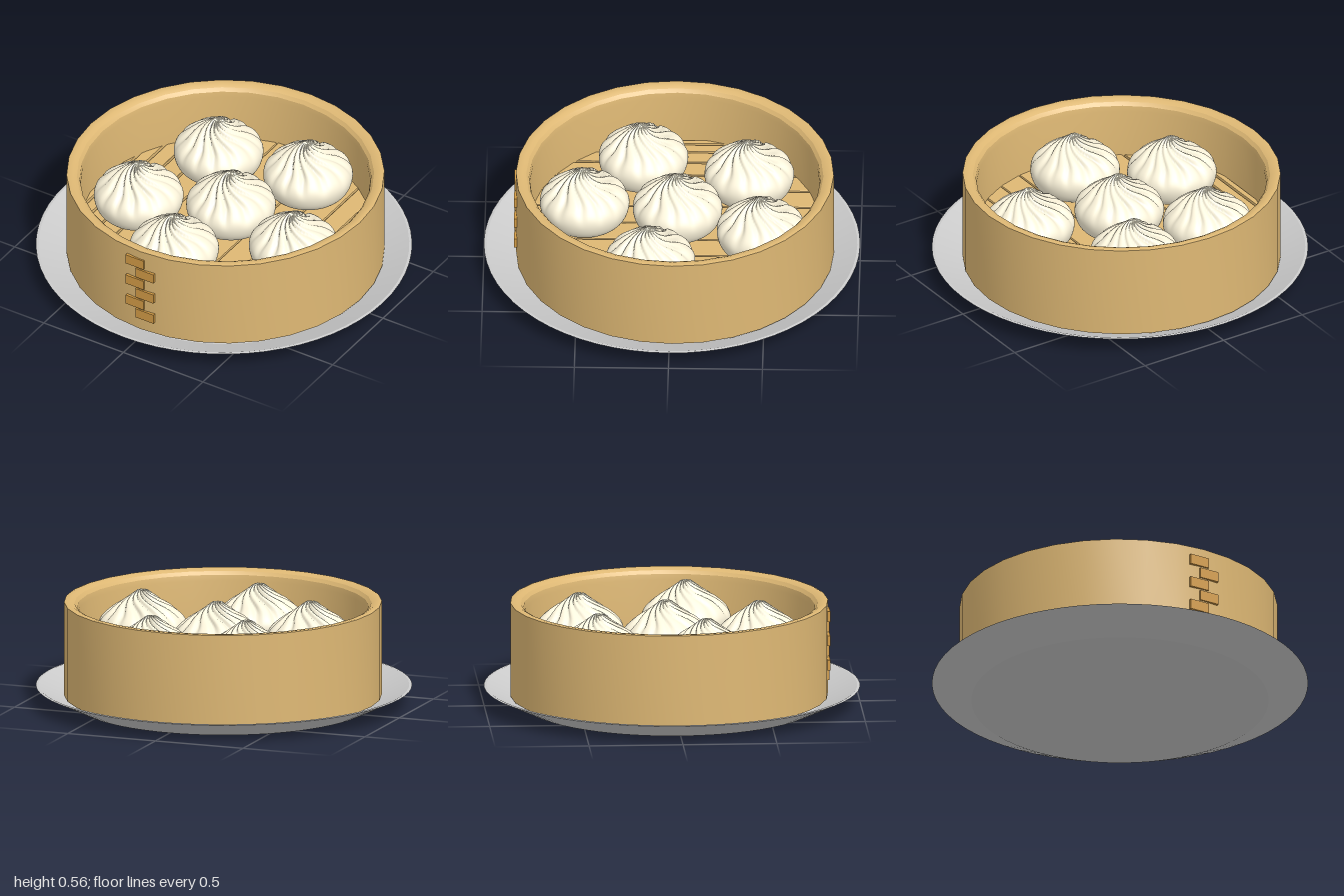
import * as THREE from 'three';
import { mergeVertices, toCreasedNormals } from 'three/addons/utils/BufferGeometryUtils.js';

const mat = (color) => new THREE.MeshStandardMaterial({ color });
const v2 = (list) => list.map(([x, y]) => new THREE.Vector2(x, y));

function addMesh(parent, name, geometry, material, x = 0, y = 0, z = 0) {
  const mesh = new THREE.Mesh(geometry, material);
  mesh.name = name;
  mesh.position.set(x, y, z);
  parent.add(mesh);
  return mesh;
}

const lathe = (points, segments) =>
  toCreasedNormals(new THREE.LatheGeometry(v2(points), segments), 0.4);

// Steamed bun: a revolved dome whose upper half is gathered into swirling pleats
function bunGeometry() {
  const profile = new THREE.SplineCurve(v2([
    [0, 0], [0.15, 0.003], [0.213, 0.04], [0.238, 0.11], [0.223, 0.17],
    [0.165, 0.225], [0.1, 0.268], [0.052, 0.303], [0.025, 0.321], [0, 0.316],
  ])).getPoints(44);
  profile[0].x = profile[profile.length - 1].x = 0;
  const geo = new THREE.LatheGeometry(profile, 120);
  const pos = geo.attributes.position;
  const pleats = 13;
  for (let i = 0; i < pos.count; i++) {
    const x = pos.getX(i), y = pos.getY(i), z = pos.getZ(i);
    const r = Math.hypot(x, z), a = Math.atan2(x, z);
    const strength = THREE.MathUtils.smoothstep(y, 0.1, 0.25);
    const swirl = 1.8 * Math.pow(Math.max(0, 1 - r / 0.2), 2);
    const phase = a + swirl + 0.06 * Math.sin(3 * a);
    const groove = Math.pow(Math.abs(Math.cos(phase * pleats / 2)), 5);
    const depth = strength * groove * (0.75 + 0.25 * Math.sin(2 * a + 1));
    const k = 1 - 0.13 * depth;
    pos.setXYZ(i, x * k, y - 0.012 * depth * Math.min(1, r / 0.04), z * k);
  }
  geo.deleteAttribute('normal');
  geo.deleteAttribute('uv');
  const merged = mergeVertices(geo, 1e-5);
  merged.computeVertexNormals();
  return merged;
}

export function createModel() {
  const model = new THREE.Group();
  model.name = 'bunSteamer';
  const grey = mat(0xcccccc);
  const bamboo = mat(0xdeb874);
  const binding = mat(0xd39c46);
  const dough = mat(0xfdf5dc);

  // Shallow plate with a flared rim
  addMesh(model, 'plate', lathe([
    [0, 0], [0.79, 0], [1, 0.1], [0.985, 0.102], [0.785, 0.012], [0, 0.012],
  ], 64), grey);

  const basket = new THREE.Group();
  basket.name = 'basket';
  basket.position.z = -0.015;
  model.add(basket);

  // Round wall with a softened inner lip
  addMesh(basket, 'basketWall', lathe([
    [0.77, 0.05], [0.845, 0.05], [0.845, 0.557], [0.835, 0.56], [0.81, 0.558],
    [0.79, 0.548], [0.775, 0.53], [0.77, 0.5], [0.77, 0.05],
  ], 32), bamboo);

  // Floor slats, cut to the round of the wall
  const floor = new THREE.Group();
  floor.name = 'floorSlats';
  basket.add(floor);
  const R = 0.775, gap = 0.009;
  for (let i = -7; i < 7; i++) {
    const a = i * Math.PI / 16, b = (i + 1) * Math.PI / 16;
    const x0 = R * Math.sin(a) + gap, x1 = R * Math.sin(b) - gap;
    const z0 = R * Math.cos(a), z1 = R * Math.cos(b);
    const slat = new THREE.ExtrudeGeometry(
      new THREE.Shape(v2([[x0, -z0], [x1, -z1], [x1, z1], [x0, z0]])),
      { depth: 0.02, bevelSize: 0.006, bevelThickness: 0.006, bevelSegments: 2 });
    slat.rotateX(-Math.PI / 2);
    addMesh(floor, 'slat', slat, bamboo, 0, 0.209, 0);
  }

  // Staggered binding stitches on the front of the wall
  const stitch = new THREE.BoxGeometry(0.113, 0.056, 0.016);
  for (let i = 0; i < 6; i++) {
    addMesh(model, 'bindingStitch', stitch, binding,
      i % 2 ? 0.029 : -0.032, 0.48 - i * 0.066, 0.83);
  }

  // Six buns resting on the slats
  const bun = bunGeometry();
  [[-0.29, -0.405], [0.225, -0.48], [0.025, -0.03],
    [-0.435, 0.16], [0.505, 0.105], [-0.02, 0.465]].forEach(([x, z]) => {
    addMesh(model, 'bun', bun, dough, x, 0.235, z);
  });

  return model;
}
